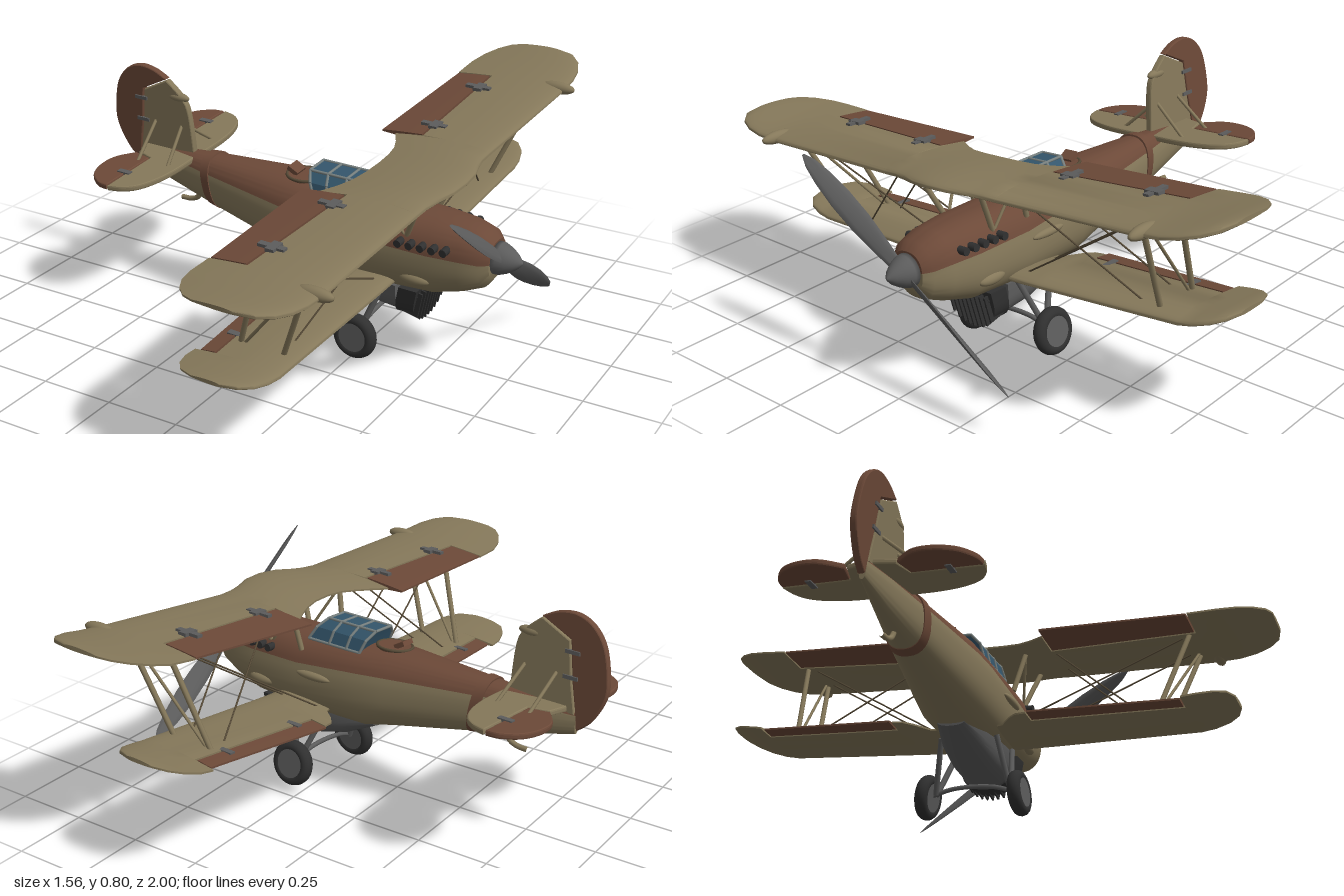
import * as THREE from 'three';
import { toCreasedNormals } from 'three/addons/utils/BufferGeometryUtils.js';

const paint = (name, color) => Object.assign(new THREE.MeshStandardMaterial({ color }), { name });

export function createModel() {
  const tan = paint('khaki', 0x85785a), brown = paint('red brown', 0x6c4938), grey = paint('metal grey', 0x5c5c5c);
  const dark = paint('rubber black', 0x303030), glass = paint('glass blue', 0x34566c), frame = paint('frame grey', 0x77807f);
  const wire = paint('wire brown', 0x554936);
  const model = new THREE.Group();
  model.name = 'biplane';

  const add = (name, geo, mat, x = 0, y = 0, z = 0) => {
    const m = new THREE.Mesh(geo, mat);
    m.name = name;
    m.position.set(x, y, z);
    model.add(m);
    return m;
  };
  const V = a => new THREE.Vector3(...a);
  // Round bar between two points
  const bar = (name, a, b, r, mat) => {
    const d = V(b).sub(V(a)), m = add(name, new THREE.CylinderGeometry(r, r, d.length(), 8), mat);
    m.position.copy(V(a).addScaledVector(d, 0.5));
    m.quaternion.setFromUnitVectors(new THREE.Vector3(0, 1, 0), d.normalize());
  };
  // Skin through cross-sections, capped at both ends and turned outward
  const loft = (rings, closed = true, crease = 0.7) => {
    const n = rings[0].length, pos = rings.flat(), idx = [], k = closed ? n : n - 1;
    for (let i = 0; i < rings.length - 1; i++) for (let j = 0; j < k; j++) {
      const a = i * n + j, b = i * n + (j + 1) % n;
      idx.push(a, b, a + n, b, b + n, a + n);
    }
    [0, rings.length - 1].forEach((i, e) => {
      const ring = rings[i], pts = closed ? ring : [ring[0], ring[n - 1]];
      pos.push([0, 1, 2].map(c => pts.reduce((s, p) => s + p[c], 0) / pts.length));
      for (let j = 0; j < k; j++) {
        const a = i * n + j, b = i * n + (j + 1) % n, c = pos.length - 1;
        idx.push(...(e ? [a, b, c] : [b, a, c]));
      }
    });
    let vol = 0;
    for (let i = 0; i < idx.length; i += 3) vol += V(pos[idx[i]]).dot(V(pos[idx[i + 1]]).cross(V(pos[idx[i + 2]])));
    if (vol < 0) idx.reverse();
    const g = new THREE.BufferGeometry();
    g.setAttribute('position', new THREE.Float32BufferAttribute(pos.flat(), 3));
    g.setIndex(idx);
    return toCreasedNormals(g, crease);
  };
  // Plate with a curved outer edge followed by straight corners
  const plate = (curve, corners, depth) => {
    const v = ([x, y]) => new THREE.Vector2(x, y), s = new THREE.Shape();
    s.moveTo(...curve[0]);
    s.splineThru(curve.slice(1).map(v));
    corners.forEach(p => s.lineTo(...p));
    return new THREE.ExtrudeGeometry(s, { depth, curveSegments: 24, bevelThickness: 0.006, bevelSize: 0.004, bevelOffset: -0.004, bevelSegments: 2 })
      .translate(0, 0, -depth / 2);
  };

  // Fuselage: x, top, bottom, half width, colour line
  const body = [
    [0.69, 0.058, -0.065, 0.06, 0], [0.665, 0.083, -0.1, 0.085, 0.004], [0.6, 0.1, -0.128, 0.105, 0.01], [0.5, 0.108, -0.158, 0.12, 0.012],
    [0.3, 0.108, -0.167, 0.132, 0.018], [0.05, 0.115, -0.16, 0.132, 0.042], [-0.05, 0.122, -0.135, 0.121, 0.05],
    [-0.37, 0.111, -0.067, 0.069, 0.066], [-0.55, 0.1, -0.024, 0.036, 0.076], [-0.69, 0.083, 0.013, 0.012, 0.073]];
  const arc = ([x, t, b, w, line], part, grow = 1) => {
    const c = (t + b) / 2, h = (t - b) / 2, e = 0.82, s = (line - c) / h;
    const a0 = Math.asin(Math.sign(s) * Math.abs(s) ** (1 / e));
    const [from, to] = part === 'top' ? [a0, Math.PI - a0] : part === 'low' ? [Math.PI - a0, 2 * Math.PI + a0] : [0, 2 * Math.PI * 31 / 32];
    return Array.from({ length: 32 }, (_, i) => {
      const a = from + (to - from) * i / 31, p = v => Math.sign(v) * Math.abs(v) ** e * grow;
      return [x, c + h * p(Math.sin(a)), w * p(Math.cos(a))];
    });
  };
  add('fuselageTop', loft(body.map(s => arc(s, 'top')), false), brown);
  add('fuselageLower', loft(body.map(s => arc(s, 'low')), false), tan);
  // The tail band leans back at the top
  add('tailBand', loft([[-0.35, 0.112, -0.071, 0.072, 0], [-0.385, 0.11, -0.064, 0.066, 0]]
    .map(s => arc(s, 'all', 1.06).map(([x, y, z]) => [x - 0.15 * (y - 0.02), y, z]))), brown);

  // Wings: stations z, trailing edge, leading edge, height, aileron hinge (0 for none), thickness factor
  const foil = (z, te, le, y, t, lo, hi) => {
    const side = (sgn, k) => Array.from({ length: 14 }, (_, i) => {
      const x = Math.min(hi, Math.max(lo, te + (le - te) * (1 - (1 - i / 13) ** 2))), v = Math.max(0, (le - x) / (le - te));
      return [x, y + sgn * k * (t * 2.6 * Math.sqrt(v) * (1 - v) + 0.003), z];
    });
    return [...side(1, 1.3), ...side(-1, 0.7).reverse()];
  };
  const wing = (name, st, t) => {
    const ring = ([z, te, le, y, hinge, f = 1], sgn) => foil(sgn * z, te, le, y, t * f, hinge || te, le);
    add(name, loft([...st.slice(1).reverse().map(s => ring(s, -1)), ...st.map(s => ring(s, 1))], true, 0.6), tan);
    for (const sgn of [1, -1]) {
      add(name + 'Aileron', loft(st.filter(s => s[4]).map(([z, te, le, y, hinge], i) =>
        foil(sgn * (z + (i ? -0.005 : 0.005)), te, le, y, t, te, hinge - 0.008)), true, 0.6), brown);
    }
  };
  wing('upperWing', [
    [0, 0.275, 0.585, 0.225], [0.07, 0.27, 0.578, 0.223], [0.13, 0.255, 0.557, 0.218], [0.18, 0.232, 0.545, 0.215], [0.234, 0.2, 0.542, 0.213],
    [0.235, 0.147, 0.542, 0.213, 0.303], [0.745, 0.166, 0.555, 0.229, 0.295], [0.746, 0.163, 0.555, 0.229], [0.84, 0.167, 0.555, 0.236],
    [0.9, 0.186, 0.547, 0.246], [0.95, 0.217, 0.526, 0.256, 0, 0.8], [0.985, 0.255, 0.49, 0.264, 0, 0.6], [1, 0.295, 0.43, 0.268, 0, 0.3]], 0.0135);
  wing('lowerWing', [
    [0, 0.2, 0.385, -0.118], [0.13, 0.16, 0.385, -0.118], [0.17, 0.11, 0.385, -0.117], [0.2, 0.085, 0.385, -0.116], [0.239, 0.08, 0.385, -0.115],
    [0.24, 0.07, 0.385, -0.115, 0.137], [0.75, 0.102, 0.385, -0.097, 0.162], [0.751, 0.085, 0.385, -0.097], [0.8, 0.087, 0.38, -0.09],
    [0.85, 0.105, 0.365, -0.079, 0, 0.8], [0.885, 0.135, 0.335, -0.07, 0, 0.6], [0.903, 0.185, 0.285, -0.066, 0, 0.3]], 0.0125);

  // Tail fin and rudder
  add('fin', plate([[-0.545, 0.353], [-0.487, 0.3], [-0.462, 0.24], [-0.452, 0.073]], [[-0.684, 0.073], [-0.663, 0.177], [-0.646, 0.303]], 0.012), tan);
  add('rudder', plate([[-0.697, 0.027], [-0.738, 0.064], [-0.776, 0.135], [-0.784, 0.2], [-0.763, 0.303], [-0.72, 0.363], [-0.663, 0.389], [-0.6, 0.383], [-0.545, 0.357]],
    [[-0.649, 0.306], [-0.666, 0.177], [-0.688, 0.07]], 0.012), brown);
  const pod = (name, x, y, z, l, r) => add(name, new THREE.SphereGeometry(1, 20, 12).scale(l, r, r), tan, x, y, z);
  pod('finLight', -0.508, 0.296, 0, 0.045, 0.016);
  [0.19, 0.27].forEach(y => add('rudderHinge', new THREE.BoxGeometry(0.05, 0.012, 0.034), grey, -0.66, y, 0));
  add('tailSkid', new THREE.TubeGeometry(new THREE.CatmullRomCurve3([[-0.44, -0.03, 0], [-0.46, -0.07, 0], [-0.49, -0.085, 0], [-0.53, -0.088, 0]].map(V)), 12, 0.009, 8), tan);

  for (const s of [1, -1]) {
    // Stabilizer, elevator and bracing
    const flat = (curve, corners) => plate(curve.map(([x, z]) => [x, s * z]), corners.map(([x, z]) => [x, s * z]), 0.008).rotateX(Math.PI / 2);
    add('stabilizer', flat([[-0.44, 0], [-0.44, 0.13], [-0.453, 0.22], [-0.48, 0.285], [-0.52, 0.32], [-0.57, 0.335]], [[-0.574, 0.1], [-0.64, 0.08], [-0.66, 0]]), tan, 0, 0.088, 0);
    add('elevator', flat([[-0.577, 0.333], [-0.62, 0.325], [-0.67, 0.285], [-0.695, 0.22], [-0.69, 0.15], [-0.645, 0.086]], [[-0.577, 0.102]]), brown, 0, 0.088, 0);
    add('elevatorHinge', new THREE.BoxGeometry(0.05, 0.028, 0.02), grey, -0.58, 0.088, s * 0.23);
    bar('tailStrut', [-0.6, 0.09, s * 0.14], [-0.61, 0.2, 0], 0.006, tan);
    bar('tailStrut', [-0.48, 0.09, s * 0.13], [-0.5, 0.2, 0], 0.006, tan);

    // Wing fittings
    pod('wingLight', 0.53, 0.236, s * 0.77, 0.063, 0.021);
    for (const z of [0.315, 0.63]) {
      add('aileronHinge', new THREE.BoxGeometry(0.09, 0.01, 0.02), grey, 0.3, 0.21 + z * 0.04, s * z).position.y += 0.012;
      add('aileronHingeCross', new THREE.BoxGeometry(0.03, 0.012, 0.05), grey, 0.305, 0.222 + z * 0.04, s * z);
      add('lowerAileronHinge', new THREE.BoxGeometry(0.06, 0.01, 0.02), grey, 0.15, -0.112 + z * 0.03, s * z);
    }

    // Interplane struts, cabane struts and wires
    bar('frontStrut', [0.33, -0.1, s * 0.655], [0.475, 0.225, s * 0.72], 0.009, tan);
    bar('rearStrut', [0.18, -0.1, s * 0.655], [0.31, 0.225, s * 0.72], 0.009, tan);
    bar('diagonalStrut', [0.19, -0.1, s * 0.655], [0.46, 0.225, s * 0.72], 0.005, tan);
    bar('cabaneFront', [0.43, 0.06, s * 0.1], [0.5, 0.215, s * 0.13], 0.009, tan);
    bar('cabaneRear', [0.29, 0.06, s * 0.11], [0.33, 0.215, s * 0.13], 0.009, tan);
    bar('cabaneDiagonal', [0.42, 0.06, s * 0.1], [0.33, 0.215, s * 0.13], 0.005, tan);
    for (const dx of [0, 0.13]) {
      bar('flyingWire', [0.2 + dx, -0.11, s * 0.13], [0.33 + dx, 0.225, s * 0.7], 0.0028, wire);
      bar('landingWire', [0.19 + dx, -0.1, s * 0.6], [0.33 + dx, 0.21, s * 0.24], 0.0028, wire);
    }

    // Exhaust stubs and side fairings
    for (let i = 0; i < 5; i++) add('exhaustStub', new THREE.CylinderGeometry(0.013, 0.013, 0.04, 12).rotateX(Math.PI / 2), dark, 0.415 + i * 0.038, 0.042, s * (0.119 - i * 0.003));
    pod('sideFairing', 0.457, -0.085, s * 0.108, 0.055, 0.021);
    pod('gunFairing', 0.222, -0.01, s * 0.132, 0.07, 0.014);

    // Landing gear
    const wheel = new THREE.Group();
    wheel.name = 'wheel';
    wheel.position.set(0.268, -0.322, s * 0.165);
    wheel.rotation.x = -0.12 * s;
    const tyre = new THREE.Mesh(new THREE.TorusGeometry(0.057, 0.021, 14, 36).scale(1, 1, 1.1), dark);
    tyre.name = 'tyre';
    const hub = new THREE.Mesh(new THREE.CylinderGeometry(0.055, 0.055, 0.042, 28).rotateX(Math.PI / 2), grey);
    hub.name = 'hub';
    wheel.add(tyre, hub);
    model.add(wheel);
    bar('gearLegRear', [0.19, -0.14, s * 0.1], [0.264, -0.315, s * 0.135], 0.01, grey);
    bar('gearLegFront', [0.34, -0.14, s * 0.1], [0.27, -0.315, s * 0.135], 0.01, grey);
  }
  add('axle', new THREE.TubeGeometry(new THREE.CatmullRomCurve3([[0.268, -0.32, -0.16], [0.268, -0.295, -0.07], [0.268, -0.295, 0.07], [0.268, -0.32, 0.16]].map(V)), 20, 0.008, 8), grey);

  // Chin radiator with a rounded belly and a leaning, ribbed grille
  const belly = ([x, t, b, w, lean = 0]) => Array.from({ length: 17 }, (_, i) => {
    const a = Math.PI * i / 16, d = Math.sin(a) ** 0.6;
    return [x - lean * d, t + (b - t) * d, w * Math.cos(a)];
  });
  add('radiator', loft([[0.03, -0.14, -0.163, 0.05], [0.15, -0.14, -0.222, 0.08], [0.26, -0.14, -0.252, 0.092], [0.38, -0.14, -0.262, 0.096]].map(belly)), grey);
  add('radiatorGrille', loft([[0.395, -0.14, -0.268, 0.1, 0.03], [0.46, -0.14, -0.268, 0.1, 0.03]].map(belly)), dark);
  for (let i = -4; i <= 4; i++) {
    const h = 0.125 * (1 - (i / 5) ** 2) ** 0.3;
    add('grilleRib', new THREE.BoxGeometry(0.072, h, 0.006), dark, 0.427, -0.147 - h / 2, i * 0.02).rotation.z = -0.22;
  }
  for (let i = 0; i < 4; i++) add('grilleSlat', new THREE.BoxGeometry(0.07, 0.006, 0.17 - i * 0.012), dark, 0.424 - i * 0.006, -0.17 - i * 0.024, 0);

  // Canopy: glass with a frame along its edges
  const hoops = [[0.075, 0.042], [0.13, 0.11], [0.2, 0.18], [0.285, 0.235]].map(([x0, x1]) =>
    [[x0, 0.095, 0.08], [(x0 + x1) / 2, 0.138, 0.07], [x1, 0.167, 0.04], [x1, 0.167, -0.04], [(x0 + x1) / 2, 0.138, -0.07], [x0, 0.095, -0.08]]);
  add('canopyGlass', loft(hoops, true, 0.2), glass);
  hoops.forEach((h, i) => h.forEach((p, j) => {
    if (j < 5) bar('canopyFrame', p, h[j + 1], 0.005, frame);
    if (i < 3 && j !== 1 && j !== 4) bar('canopyRail', p, hoops[i + 1][j], 0.005, frame);
  }));

  // Open rear cockpit
  add('cockpitOpening', new THREE.CylinderGeometry(1, 1, 0.03, 28).scale(0.058, 1, 0.05), brown, -0.008, 0.11, 0);
  add('cockpitRim', new THREE.TorusGeometry(1, 0.09, 8, 32).rotateX(Math.PI / 2).scale(0.06, 0.06, 0.052), wire, -0.008, 0.122, 0);
  add('headrest', new THREE.BoxGeometry(0.04, 0.016, 0.05), brown, -0.04, 0.136, 0).rotation.z = -0.5;

  // Spinner and propeller
  add('spinner', new THREE.LatheGeometry([[0, 0.688], [0.053, 0.688], [0.052, 0.705], [0.042, 0.73], [0.025, 0.756], [0.008, 0.772], [0, 0.776]].map(p => new THREE.Vector2(...p)), 28).rotateZ(-Math.PI / 2), grey);
  const blade = loft([[0.02, 0.03, 1.1], [0.1, 0.044, 1], [0.2, 0.056, 0.9], [0.3, 0.056, 0.8], [0.39, 0.045, 0.72], [0.45, 0.029, 0.68], [0.486, 0.006, 0.65]].map(([r, c, twist]) =>
    Array.from({ length: 12 }, (_, i) => {
      const a = i / 6 * Math.PI, u = c * 0.62 * Math.cos(a), v = 0.13 * c * Math.sin(a);
      return [u * Math.cos(twist) - v * Math.sin(twist), r, u * Math.sin(twist) + v * Math.cos(twist)];
    })));
  [0, Math.PI].forEach(a => { add('propellerBlade', blade, grey, 0.712, 0, 0).rotation.set(0.9 + a, 0.045, 0, 'YXZ'); });

  // Slight bank and yaw of the whole aircraft
  model.rotation.set(0.087, -0.045, 0, 'YXZ');
  model.position.set(0, 0.417, -0.034);
  const root = new THREE.Group();
  root.name = 'aircraft';
  root.add(model);
  return root;
}
